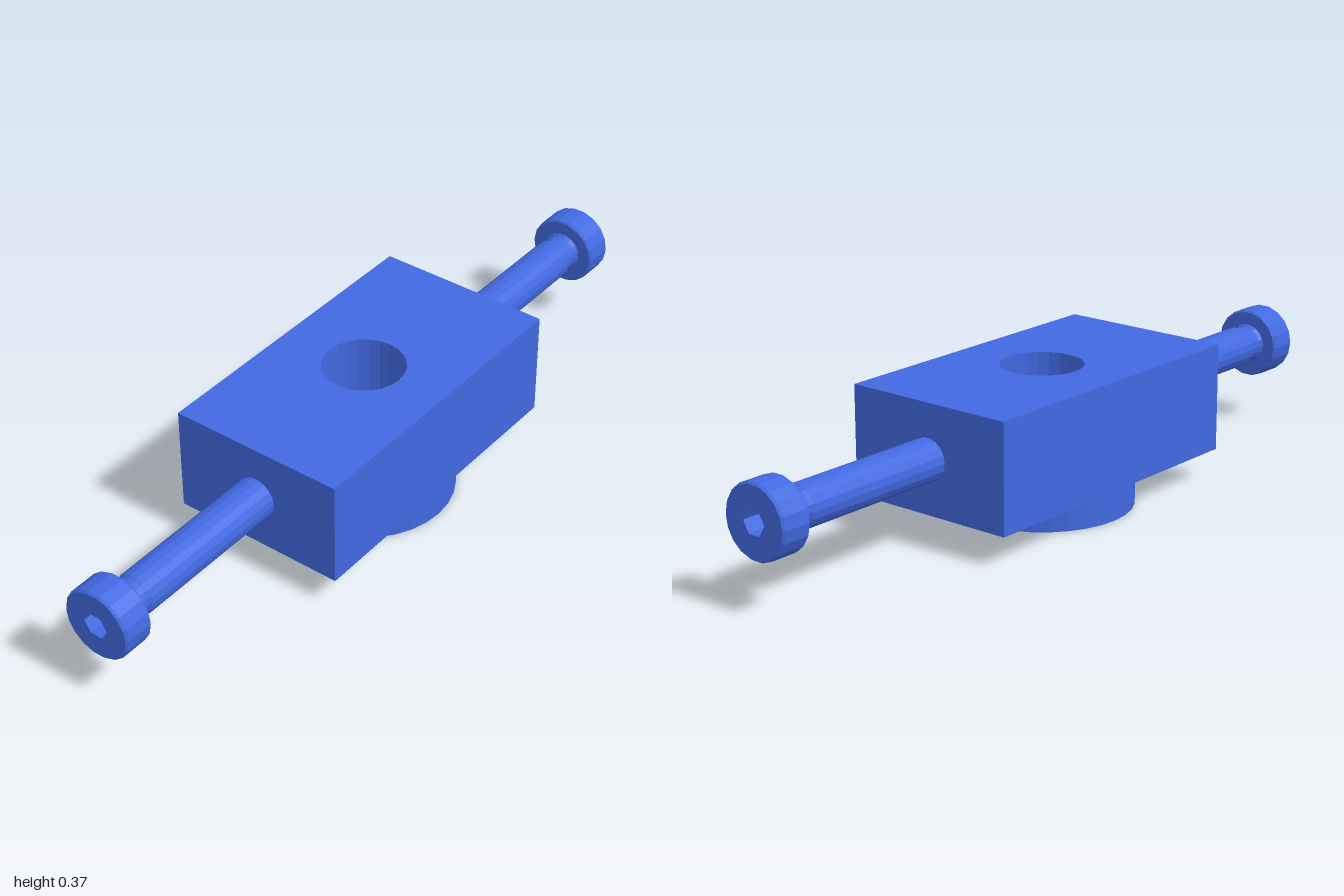
import * as THREE from 'three';

const material = new THREE.MeshStandardMaterial({ color: 0x4169e1, flatShading: true });

// Regular polygon outline with n corners, the first one on the shape's +x side
function ring(n, r, cx = 0, cy = 0) {
  return Array.from({ length: n }, (_, i) => {
    const a = (i / n) * Math.PI * 2;
    return new THREE.Vector2(cx + r * Math.cos(a), cy + r * Math.sin(a));
  });
}

// Straight extrusion of an outline with holes, along +z
function plate(outline, holes, depth) {
  const shape = new THREE.Shape(outline);
  for (const h of holes) shape.holes.push(new THREE.Path(h));
  return new THREE.ExtrudeGeometry(shape, { depth, bevelEnabled: false });
}

function add(parent, name, geometry) {
  const mesh = new THREE.Mesh(geometry, material);
  mesh.name = name;
  parent.add(mesh);
  return mesh;
}

// Socket head screw pointing along +x
function sideScrew(name) {
  const group = new THREE.Group();
  group.name = name;
  const profile = [
    [0, 0.4], [0.055, 0.4], [0.055, 0.865], [0.049, 0.875], [0.049, 0.905],
    [0.055, 0.915], [0.09, 0.915], [0.095, 0.92], [0.095, 0.994], [0.09, 1],
  ].map(([r, y]) => new THREE.Vector2(r, y));
  add(group, 'screwBody', new THREE.LatheGeometry(profile, 18).rotateZ(-Math.PI / 2));

  // Head face with its hexagonal socket
  const face = plate(ring(18, 0.09), [ring(6, 0.034)], 0.05);
  add(group, 'socketFace', face.rotateY(Math.PI / 2).translate(0.95, 0, 0));
  const floor = new THREE.CircleGeometry(0.036, 6);
  add(group, 'socketFloor', floor.rotateY(Math.PI / 2).translate(0.951, 0, 0));
  group.position.y = 0.222;
  return group;
}

export function createModel() {
  const model = new THREE.Group();
  model.name = 'mountingBlock';

  // Block with a wide bore from the top
  const w = 0.43, d = 0.24;
  const rect = [[-w, -d], [w, -d], [w, d], [-w, d]].map(([x, y]) => new THREE.Vector2(x, y));
  const block = plate(rect, [ring(24, 0.108)], 0.286);
  add(model, 'block', block.rotateX(-Math.PI / 2).translate(0, 0.079, 0));

  // Round flange below, with a narrower bore and four screw holes
  const spots = [[0.153, 0], [-0.153, 0], [0, 0.153], [0, -0.153]];
  const holes = [ring(24, 0.067), ...spots.map(([x, z]) => ring(18, 0.058, x, z))];
  const flange = plate(ring(32, 0.239), holes, 0.079);
  add(model, 'flange', flange.rotateX(-Math.PI / 2));

  // Flush flange screws with hexagonal sockets open to the underside
  for (const [x, z] of spots) {
    const head = plate(ring(18, 0.058), [ring(6, 0.022)], 0.079);
    add(model, 'flangeScrew', head.rotateX(-Math.PI / 2)).position.set(x, 0, z);
    const floor = new THREE.CircleGeometry(0.024, 6).rotateX(Math.PI / 2);
    add(model, 'flangeScrewSocketFloor', floor).position.set(x, 0.045, z);
  }

  // One long screw on each side
  const right = sideScrew('rightScrew');
  right.rotation.y = Math.PI;
  model.add(sideScrew('leftScrew'), right);

  return model;
}
